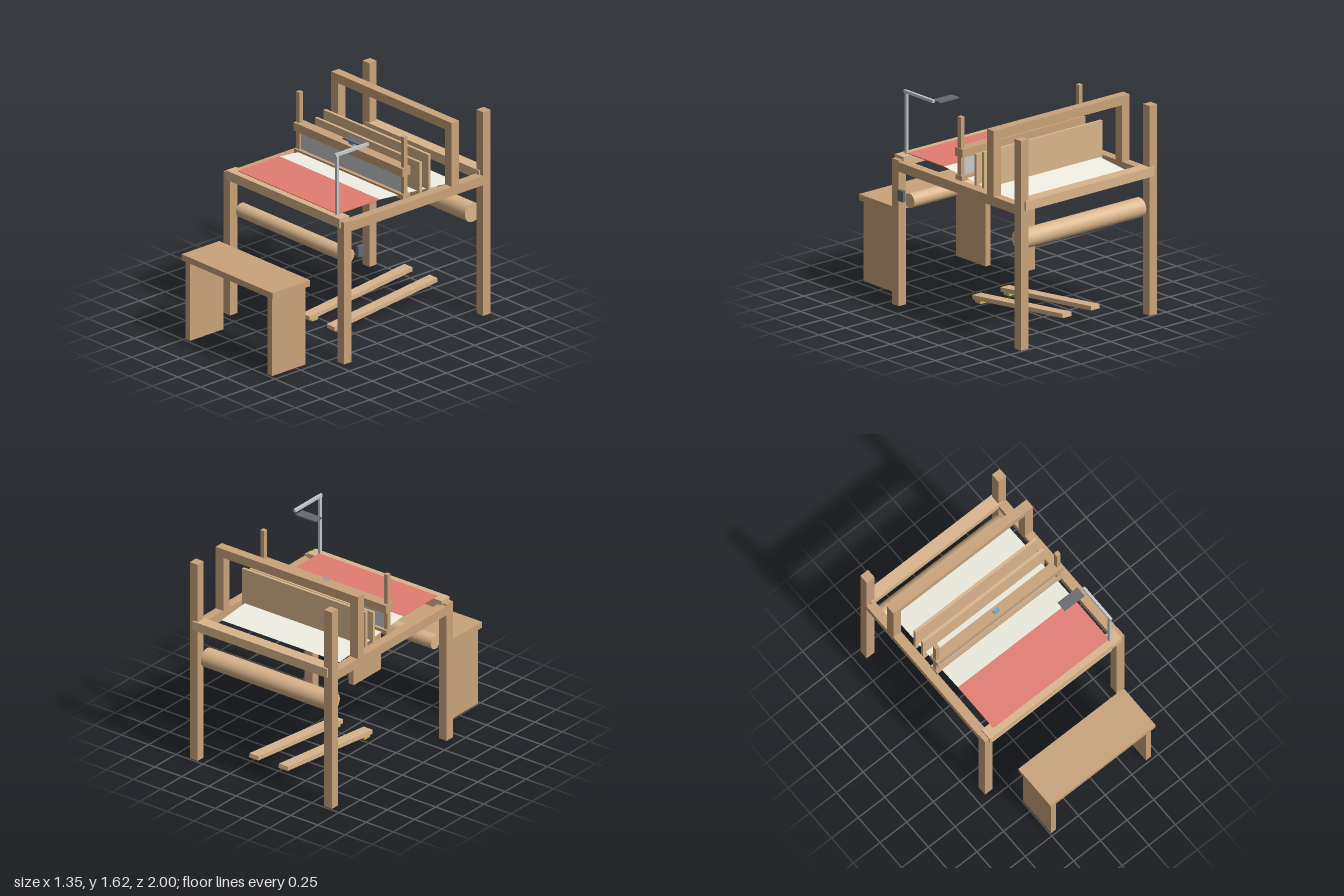
import * as THREE from 'three';

export function createModel() {
  const loom = new THREE.Group();
  loom.name = 'loomWithBench';

  const mat = (color) => new THREE.MeshStandardMaterial({ color });
  const wood = mat(0xc9a27a);
  const paleWood = mat(0xdab58c);
  const metal = mat(0xc6cace);
  const dark = mat(0x666a70);
  const blue = mat(0x69a6d4);
  const brass = mat(0xd3b74f);
  const cloth = mat(0xe37d73);
  const yarn = mat(0xf2f0e3);
  yarn.side = THREE.DoubleSide;

  // Box given by its extents on each axis
  function box(name, material, [x0, x1], [y0, y1], [z0, z1]) {
    const mesh = new THREE.Mesh(new THREE.BoxGeometry(x1 - x0, y1 - y0, z1 - z0), material);
    mesh.position.set((x0 + x1) / 2, (y0 + y1) / 2, (z0 + z1) / 2);
    mesh.name = name;
    loom.add(mesh);
    return mesh;
  }

  // Horizontal roller along x
  function roller(name, radius, y, z) {
    const geo = new THREE.CylinderGeometry(radius, radius, 1.165, 40).rotateZ(Math.PI / 2);
    const mesh = new THREE.Mesh(geo, paleWood);
    mesh.position.set(-0.021, y, z);
    mesh.name = name;
    loom.add(mesh);
  }

  // Side frames: posts, rails and castle uprights
  for (const x of [[-0.675, -0.603], [0.56, 0.632]]) {
    box('frontPost', wood, x, [0, 1.115], [0.373, 0.445]);
    box('backPost', wood, x, [0, 1.605], [-0.986, -0.914]);
    box('sideRail', wood, x, [1.03, 1.102], [-0.95, 0.41]);
    box('castleUpright', wood, x, [1.03, 1.605], [-0.68, -0.607]);
  }
  box('castleBeam', wood, [-0.675, 0.632], [1.535, 1.605], [-0.68, -0.607]);

  // Cross beams and rollers
  box('breastBeam', paleWood, [-0.638, 0.597], [1.065, 1.137], [0.36, 0.457]);
  box('backBeam', paleWood, [-0.638, 0.597], [1.065, 1.137], [-1, -0.905]);
  roller('clothRoller', 0.055, 0.802, 0.335);
  roller('warpRoller', 0.074, 0.805, -0.875);

  // Woven cloth, and the warp falling gently away behind it
  box('wovenCloth', cloth, [-0.565, 0.521], [1.136, 1.142], [0, 0.405]);
  const drop = 0.069, run = 0.755;
  const warp = new THREE.Mesh(new THREE.PlaneGeometry(1.086, Math.hypot(run, drop)), yarn);
  warp.rotation.x = -Math.PI / 2 - Math.atan2(drop, run);
  warp.position.set(-0.022, 1.139 - drop / 2, -run / 2);
  warp.name = 'warp';
  loom.add(warp);

  // Beater
  for (const x of [[-0.607, -0.572], [0.529, 0.564]])
    box('beaterUpright', wood, x, [1.1, 1.583], [-0.238, -0.203]);
  box('beaterSill', wood, [-0.612, 0.57], [1.1, 1.137], [-0.257, -0.185]);
  box('beaterCap', wood, [-0.612, 0.57], [1.28, 1.344], [-0.263, -0.18]);
  box('reed', metal, [-0.565, 0.521], [1.11, 1.282], [-0.228, -0.213]);
  box('beaterSensor', blue, [-0.047, 0.002], [1.34, 1.36], [-0.238, -0.21]);

  // Shafts
  box('frontShaft', paleWood, [-0.59, 0.547], [0.99, 1.335], [-0.392, -0.37]);
  box('rearShaft', paleWood, [-0.59, 0.547], [1.03, 1.372], [-0.478, -0.455]);

  // Treadles sloping up to the back, each on a pad
  for (const x of [-0.158, 0.113]) {
    const treadle = box('treadle', paleWood, [x - 0.042, x + 0.042], [0.07, 0.103], [-0.9, 0.11]);
    treadle.rotation.x = Math.atan2(0.107, 1);
    box('treadlePad', brass, [x - 0.037, x + 0.037], [0, 0.022], [0.02, 0.082]);
  }

  // Lamp and control box
  box('lampPole', metal, [0.511, 0.532], [1.135, 1.605], [0.402, 0.422]);
  box('lampArm', metal, [0.511, 0.532], [1.598, 1.62], [0.112, 0.433]);
  box('lampHead', dark, [0.305, 0.49], [1.594, 1.604], [0.08, 0.163]);
  box('controlBox', dark, [0.645, 0.671], [0.825, 0.908], [0.28, 0.338]);

  // Bench
  box('benchSeat', wood, [-0.515, 0.472], [0.62, 0.667], [0.632, 1]);
  for (const x of [[-0.492, -0.445], [0.398, 0.445]])
    box('benchLeg', wood, x, [0, 0.62], [0.655, 0.98]);

  return loom;
}
